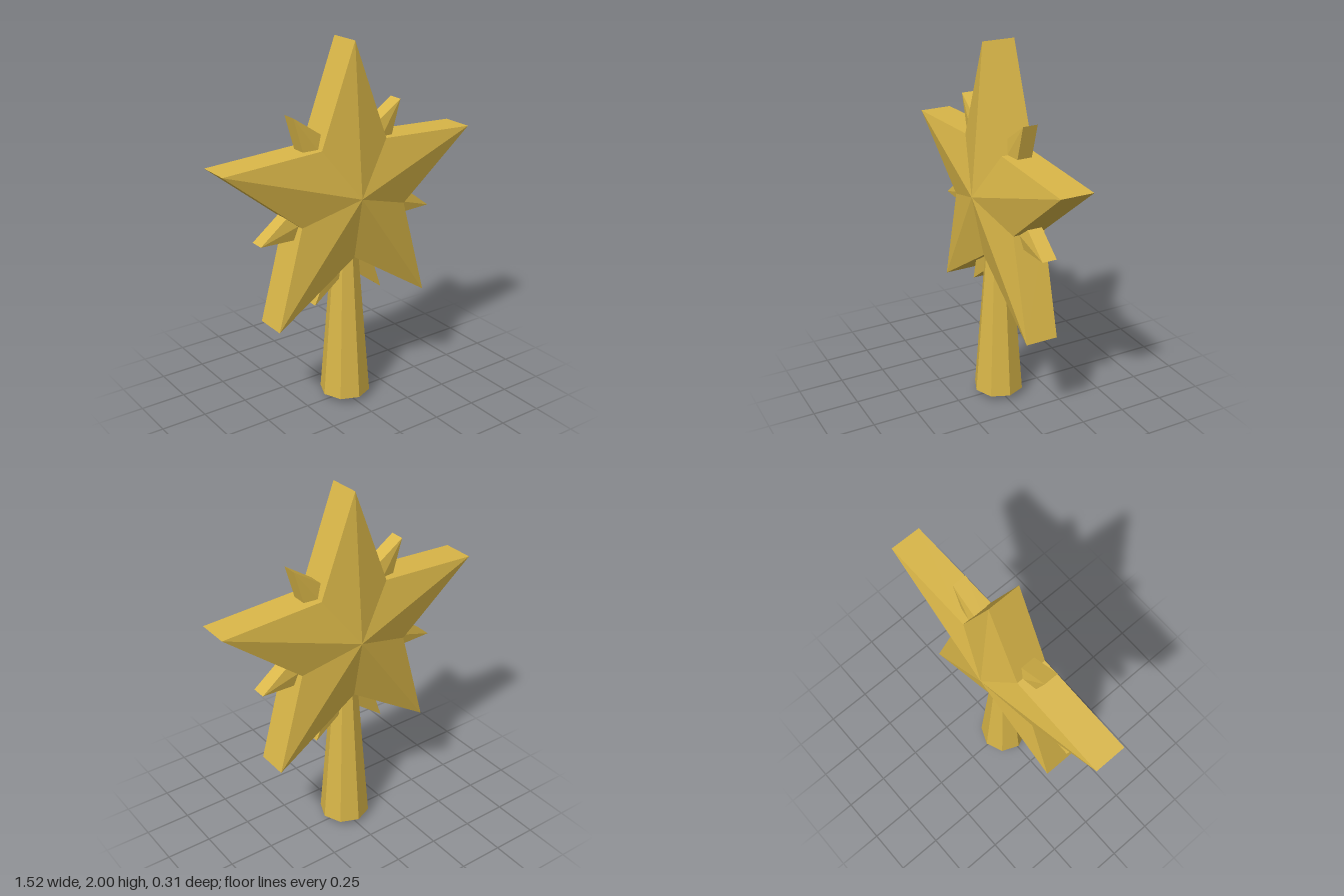
import * as THREE from 'three';

// Faceted star: straight rim walls of half depth `rim`, rising to a centre point at `peak` on both sides.
// The outline runs anticlockwise around the origin.
function starGeometry(outline, rim, peak) {
  const pos = [];
  outline.forEach(([ax, ay], i) => {
    const [bx, by] = outline[(i + 1) % outline.length];
    pos.push(0, 0, peak, ax, ay, rim, bx, by, rim);
    pos.push(0, 0, -peak, bx, by, -rim, ax, ay, -rim);
    pos.push(ax, ay, rim, ax, ay, -rim, bx, by, -rim);
    pos.push(ax, ay, rim, bx, by, -rim, bx, by, rim);
  });
  const geo = new THREE.BufferGeometry();
  geo.setAttribute('position', new THREE.Float32BufferAttribute(pos, 3));
  geo.computeVertexNormals();
  return geo;
}

export function createModel() {
  const group = new THREE.Group();
  const gold = new THREE.MeshStandardMaterial({ color: 0xd9b648 });
  gold.name = 'gold';

  const add = (name, geo, x, y) => {
    const mesh = new THREE.Mesh(geo, gold);
    mesh.name = name;
    mesh.position.set(x, y, 0);
    group.add(mesh);
  };

  // Large five-pointed star
  const large = [];
  for (let i = 0; i < 10; i++) {
    const a = Math.PI / 2 + (i * Math.PI) / 5;
    const r = i % 2 ? 0.34 : 0.8;
    large.push([r * Math.cos(a), r * Math.sin(a)]);
  }
  add('largeStar', starGeometry(large, 0.088, 0.155), 0, 1.2);

  // Small star between the large points, with a forked lower spike
  const rightHalf = [
    [0.215, -0.58], [0.12, -0.3], [0.135, -0.186],
    [0.533, -0.173], [0.219, 0.071], [0.329, 0.453],
  ];
  const leftHalf = rightHalf.map(([x, y]) => [-x, y]).reverse();
  const small = [[0, -0.417], ...rightHalf, [0, 0.23], ...leftHalf];
  add('smallStar', starGeometry(small, 0.04, 0.075), -0.004, 1.2);

  // Tapered eight-sided holder with a shallow pointed base
  const profile = [[0, 0.005], [0.138, 0.04], [0.06, 1.02], [0, 1.02]];
  const holder = new THREE.LatheGeometry(
    profile.map(([x, y]) => new THREE.Vector2(x, y)), 8).toNonIndexed();
  holder.computeVertexNormals();
  add('holder', holder, 0, 0);

  return group;
}
